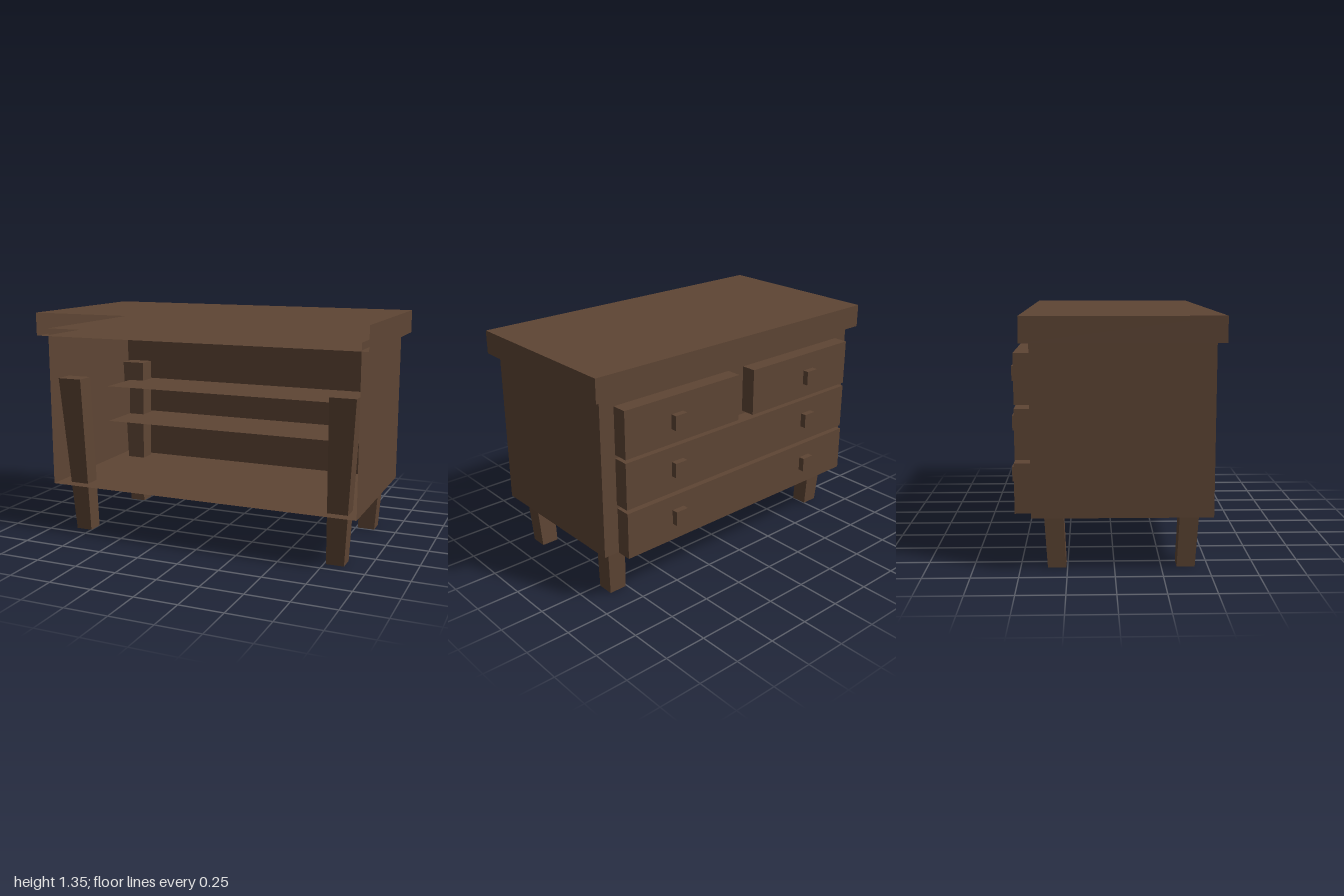
import * as THREE from 'three';

const wood = new THREE.MeshStandardMaterial({ color: 0x5e4534, side: THREE.DoubleSide });
wood.name = 'brown wood';

// Box given by its lower and upper limits; open = no face on the +z side
function box(name, [x0, x1], [y0, y1], [z0, z1], open = false) {
  const geo = new THREE.BoxGeometry(x1 - x0, y1 - y0, z1 - z0);
  if (open) {
    const index = Array.from(geo.index.array);
    index.splice(24, 6);
    geo.setIndex(index);
    geo.clearGroups();
  }
  geo.translate((x0 + x1) / 2, (y0 + y1) / 2, (z0 + z1) / 2);
  const mesh = new THREE.Mesh(geo, wood);
  mesh.name = name;
  return mesh;
}

// Leg that widens and leans outward from foot to top
function leg(name, foot, top) {
  const height = 0.95;
  const geo = new THREE.BoxGeometry(1, 1, 1).toNonIndexed();
  const p = geo.attributes.position;
  for (let i = 0; i < p.count; i++) {
    const up = p.getY(i) > 0;
    const [x0, x1, z0, z1] = up ? top : foot;
    p.setXYZ(i, p.getX(i) > 0 ? x1 : x0, up ? height : 0, p.getZ(i) > 0 ? z1 : z0);
  }
  geo.computeVertexNormals();
  const mesh = new THREE.Mesh(geo, wood);
  mesh.name = name;
  return mesh;
}

export function createModel() {
  const model = new THREE.Group();
  model.name = 'chestOfDrawers';

  // Case and top slab, both open towards +z
  model.add(box('caseBody', [-0.95, 0.95], [0.3, 1.25], [-0.435, 0.515], true));
  model.add(box('topSlab', [-1, 1], [1.21, 1.345], [-0.483, 0.56], true));

  // Drawer fronts: two small ones above two wide ones
  model.add(box('upperDrawerRight', [-0.855, -0.055], [0.88, 1.15], [-0.522, -0.435]));
  model.add(box('upperDrawerLeft', [0.06, 0.86], [0.88, 1.15], [-0.522, -0.435]));
  model.add(box('middleDrawer', [-0.855, 0.86], [0.59, 0.86], [-0.522, -0.435]));
  model.add(box('lowerDrawer', [-0.855, 0.86], [0.3, 0.57], [-0.527, -0.44]));

  // Inside: open drawer box and low rear ledge
  model.add(box('drawerBox', [-0.86, 0.86], [0.6, 0.83], [-0.43, 0], true));
  model.add(box('rearLedge', [-0.86, 0.86], [0.302, 0.54], [-0.434, -0.41]));

  // Square knobs
  for (const [y, z] of [[1.007, -0.557], [0.732, -0.557], [0.442, -0.562]]) {
    for (const x of [-0.515, 0.512]) {
      model.add(box('knob', [x - 0.04, x + 0.04], [y - 0.042, y + 0.042], [z, z + 0.037]));
    }
  }

  // Legs
  const sides = [
    ['Right', [-0.85, -0.75], [-0.91, -0.76]],
    ['Left', [0.762, 0.865], [0.775, 0.925]],
  ];
  for (const [side, foot, top] of sides) {
    model.add(leg('frontLeg' + side, [...foot, 0.333, 0.43], [...top, 0.372, 0.485]));
    model.add(leg('backLeg' + side, [...foot, -0.355, -0.257], [...top, -0.41, -0.297]));
  }
  return model;
}
